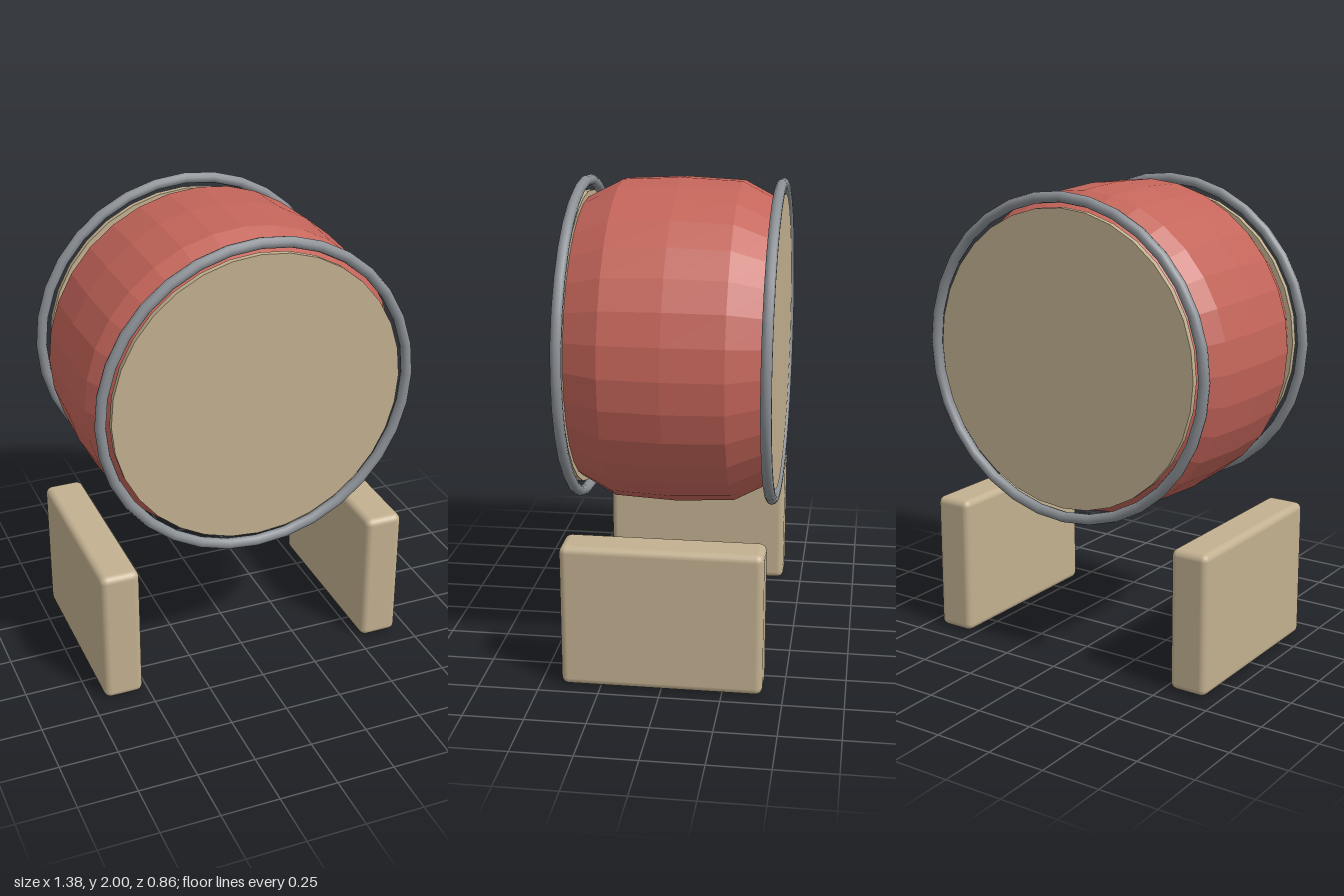
import * as THREE from 'three';
import { RoundedBoxGeometry } from 'three/addons/geometries/RoundedBoxGeometry.js';

export function createModel() {
  const model = new THREE.Group();
  model.name = 'drum';

  const material = (name, color, flatShading = false) => {
    const m = new THREE.MeshStandardMaterial({ color, flatShading });
    m.name = name;
    return m;
  };
  const red = material('red shell', 0xc4655a, true);
  const tan = material('tan wood and skin', 0xc2b090);
  const grey = material('grey metal', 0x8b9095);

  const add = (name, geometry, mat, x, y, z, parent = model) => {
    const mesh = new THREE.Mesh(geometry, mat);
    mesh.name = name;
    mesh.position.set(x, y, z);
    parent.add(mesh);
    return mesh;
  };

  // Barrel on its side, its axis running front to back
  const barrel = new THREE.Group();
  barrel.name = 'barrel';
  barrel.position.y = 1.31;
  model.add(barrel);

  const profile = [[0.595, -0.41], [0.678, -0.25], [0.69, 0], [0.678, 0.25], [0.595, 0.41]]
    .map(([r, h]) => new THREE.Vector2(r, h));
  const shell = new THREE.LatheGeometry(profile, 32).rotateX(Math.PI / 2);
  add('shell', shell, red, 0, 0, 0, barrel);

  // Skin and metal hoop at each end
  const skin = new THREE.CylinderGeometry(0.625, 0.625, 0.025, 32).rotateX(Math.PI / 2);
  const hoop = new THREE.TorusGeometry(0.667, 0.023, 10, 32);
  for (const [end, side] of [['front', 1], ['back', -1]]) {
    add(`${end}Skin`, skin, tan, 0, 0, side * 0.41, barrel);
    add(`${end}Hoop`, hoop, grey, 0, 0, side * 0.41, barrel);
  }

  // Stand: one upright slab on each side
  const slab = new RoundedBoxGeometry(0.17, 0.61, 0.83, 3, 0.03);
  add('leftStand', slab, tan, 0.607, 0.305, 0);
  add('rightStand', slab, tan, -0.607, 0.305, 0);

  return model;
}
